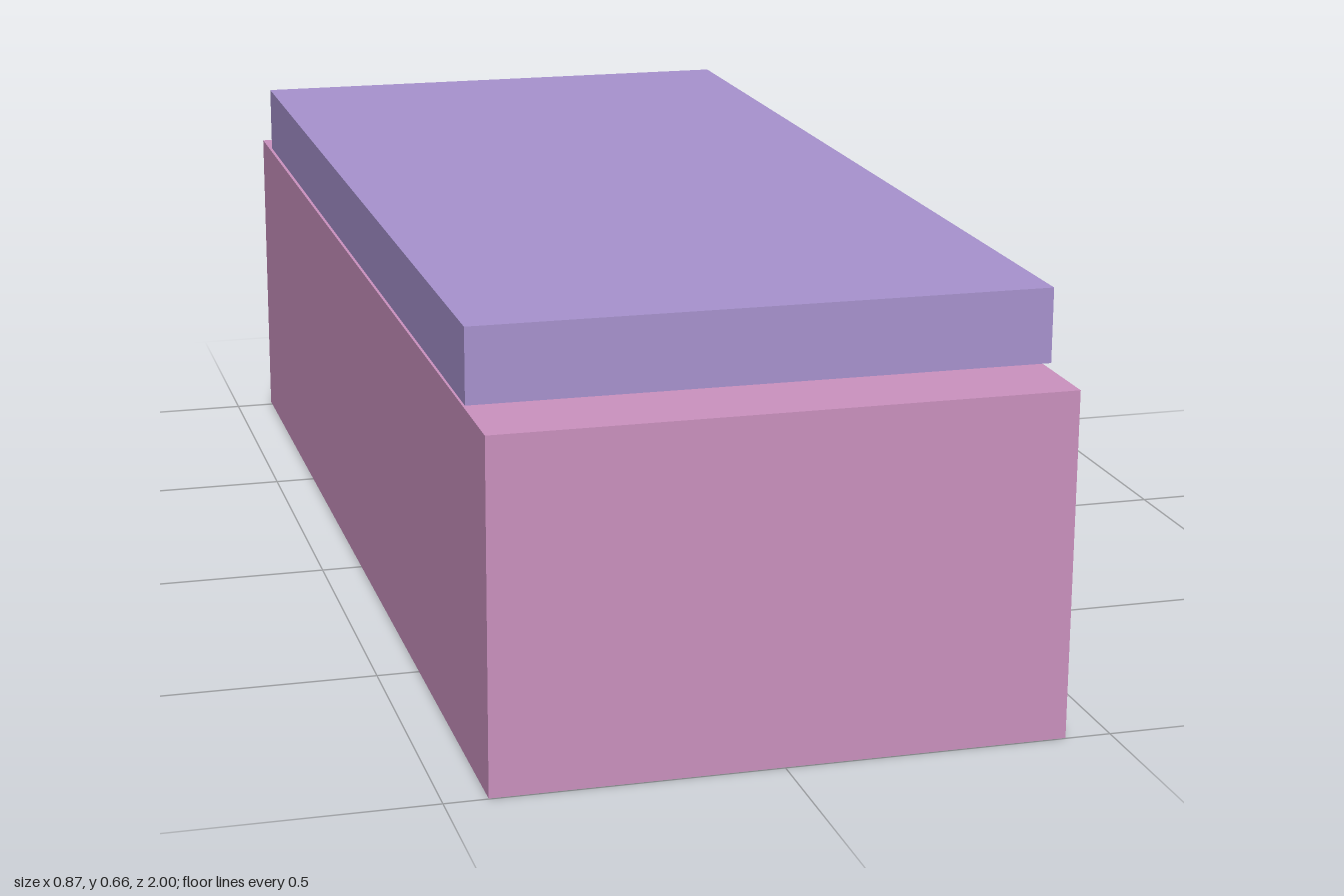
import * as THREE from 'three';

// A plain box part, placed by its centre with a slight tilt and yaw
function block(name, color, size, position, tilt, yaw) {
  const mesh = new THREE.Mesh(
    new THREE.BoxGeometry(...size),
    new THREE.MeshStandardMaterial({ color })
  );
  mesh.name = name;
  mesh.position.set(...position);
  mesh.rotation.set(tilt, yaw, 0);
  return mesh;
}

export function createModel() {
  const model = new THREE.Group();
  model.name = 'boxWithLid';
  // Long base, a touch higher at the back
  model.add(block('base', 0xcc92c0, [0.865, 0.531, 1.998], [-0.002, 0.268, 0], 0.0025, 0));
  // Shorter lid, slightly turned, with a hairline gap beneath it
  model.add(block('lid', 0xa893cf, [0.867, 0.113, 1.79], [-0.002, 0.598, -0.002], -0.001, -0.0034));
  return model;
}
